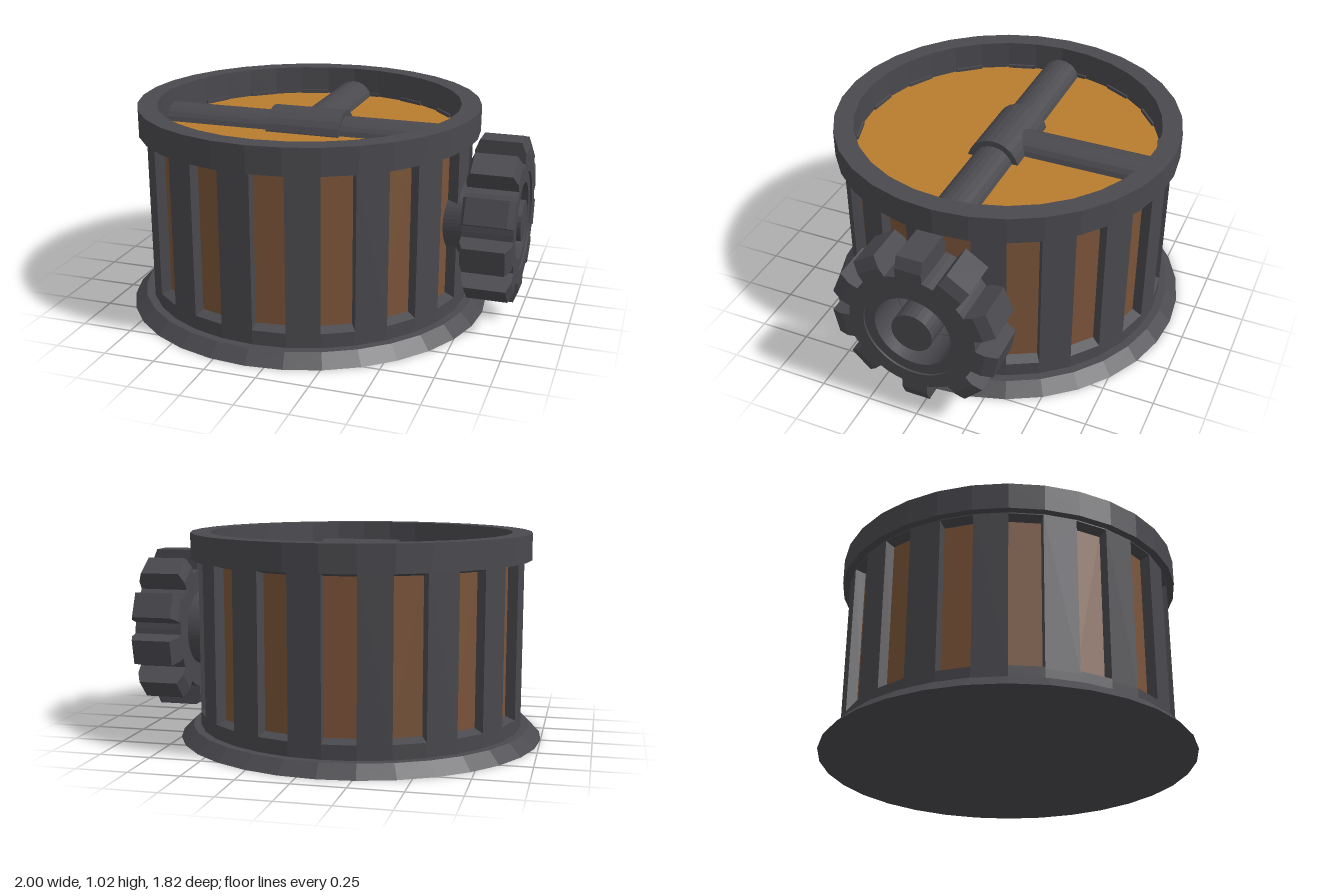
import * as THREE from 'three';

const darkMetal = new THREE.MeshStandardMaterial({ color: 0x49494e, flatShading: true });
darkMetal.name = 'darkMetal';
const smoothMetal = darkMetal; // one colour, one material
const brownPanel = new THREE.MeshStandardMaterial({ color: 0x7a5439, flatShading: true });
brownPanel.name = 'brownPanel';
const amber = new THREE.MeshStandardMaterial({ color: 0xb87b2e, flatShading: true });
amber.name = 'amber';

const SIDES = 32;
const STEP = (Math.PI * 2) / SIDES;

function add(parent, name, geometry, material) {
  const mesh = new THREE.Mesh(geometry, material);
  mesh.name = name;
  parent.add(mesh);
  return mesh;
}

// Turned part from [radius, y] pairs, outside face listed upwards
function turned(points) {
  return new THREE.LatheGeometry(points.map(([r, y]) => new THREE.Vector2(r, y)), SIDES);
}

// Upright block filling one side of the drum between two radii
function wallBlock(start, inner, outer, bottom, top) {
  const at = (r, a) => new THREE.Vector2(r * Math.sin(a), -r * Math.cos(a));
  const end = start + STEP;
  const shape = new THREE.Shape([at(inner, start), at(outer, start), at(outer, end), at(inner, end)]);
  const geometry = new THREE.ExtrudeGeometry(shape, { depth: top - bottom, bevelEnabled: false });
  return geometry.rotateX(-Math.PI / 2).translate(0, bottom, 0);
}

function makeDrum() {
  const drum = new THREE.Group();
  drum.name = 'drum';

  add(drum, 'base', new THREE.CylinderGeometry(0.85, 0.91, 0.06, SIDES), darkMetal).position.y = 0.03;
  add(drum, 'lowerBand', turned([[0.81, 0.06], [0.81, 0.13], [0.755, 0.15]]), darkMetal);
  add(drum, 'upperBand', turned([[0.755, 0.87], [0.81, 0.885], [0.81, 0.9]]), darkMetal);
  add(drum, 'rim', turned([[0.75, 0.89], [0.847, 0.89], [0.847, 1.02], [0.75, 1.02], [0.75, 0.86]]), darkMetal);

  // Brown core shows between the slats
  add(drum, 'panels', new THREE.CylinderGeometry(0.76, 0.76, 0.76, SIDES, 1, true), brownPanel).position.y = 0.51;
  for (let i = 0; i < SIDES / 2; i++) {
    add(drum, 'slat', wallBlock((2 * i - 1) * STEP, 0.74, 0.81, 0.12, 0.892), darkMetal);
  }

  add(drum, 'topSurface', new THREE.CircleGeometry(0.755, SIDES).rotateX(-Math.PI / 2), amber).position.y = 0.875;
  return drum;
}

// T-shaped pipes half sunk into the top surface
function makePipes() {
  const pipes = new THREE.Group();
  pipes.name = 'pipes';
  pipes.position.y = 0.845;
  const tube = (r, length) => new THREE.CylinderGeometry(r, r, length, 24);
  add(pipes, 'crossPipe', tube(0.105, 1.49).rotateZ(Math.PI / 2), smoothMetal);
  add(pipes, 'collar', tube(0.134, 0.375).rotateZ(Math.PI / 2), smoothMetal);
  add(pipes, 'backPipe', tube(0.105, 0.745).rotateX(Math.PI / 2), smoothMetal).position.z = -0.3725;
  return pipes;
}

// Cog centred on its own axis, which runs along x
function makeGear() {
  const gear = new THREE.Group();
  gear.name = 'gear';
  const half = 0.121;

  const ringPiece = (outer, inner, width) => {
    const shape = new THREE.Shape().absarc(0, 0, outer, 0, Math.PI * 2);
    shape.holes.push(new THREE.Path().absarc(0, 0, inner, 0, Math.PI * 2, true));
    return new THREE.ExtrudeGeometry(shape, { depth: width, bevelEnabled: false, curveSegments: SIDES })
      .translate(0, 0, -width / 2).rotateY(Math.PI / 2);
  };
  add(gear, 'gearBody', ringPiece(0.31, 0.24, 2 * half), darkMetal);
  add(gear, 'gearInnerRing', ringPiece(0.243, 0.187, 2 * half - 0.02), darkMetal);

  // Teeth with chamfered tips, three sides apart, wider gap beside the lowest
  const profile = [[-half, 0.28], [half, 0.28], [half, 0.35], [half - 0.022, 0.405], [0.022 - half, 0.405], [-half, 0.35]];
  const shape = new THREE.Shape(profile.map(([x, r]) => new THREE.Vector2(x, r)));
  const tooth = new THREE.ExtrudeGeometry(shape, { depth: 0.126, bevelEnabled: false }).translate(0, 0, -0.063);
  for (const sidesRound of [0, 3, 6, 9, 12, 16, 20, 23, 26, 29]) {
    add(gear, 'gearTooth', tooth, darkMetal).rotation.x = sidesRound * STEP;
  }

  // Hollow sleeve joining the gear to the wall, and the shaft inside it
  add(gear, 'sleeve', ringPiece(0.19, 0.184, 0.14), darkMetal).position.x = -0.17;
  add(gear, 'shaft', new THREE.CylinderGeometry(0.1, 0.1, 0.37, 24).rotateZ(Math.PI / 2), smoothMetal).position.x = -0.065;
  return gear;
}

export function createModel() {
  const model = new THREE.Group();
  model.name = 'gearedDrum';
  const body = new THREE.Group();
  body.name = 'body';
  body.position.x = -0.09;
  body.add(makeDrum(), makePipes());
  const gear = makeGear();
  gear.position.set(0.879, 0.507, 0);
  model.add(body, gear);
  return model;
}
